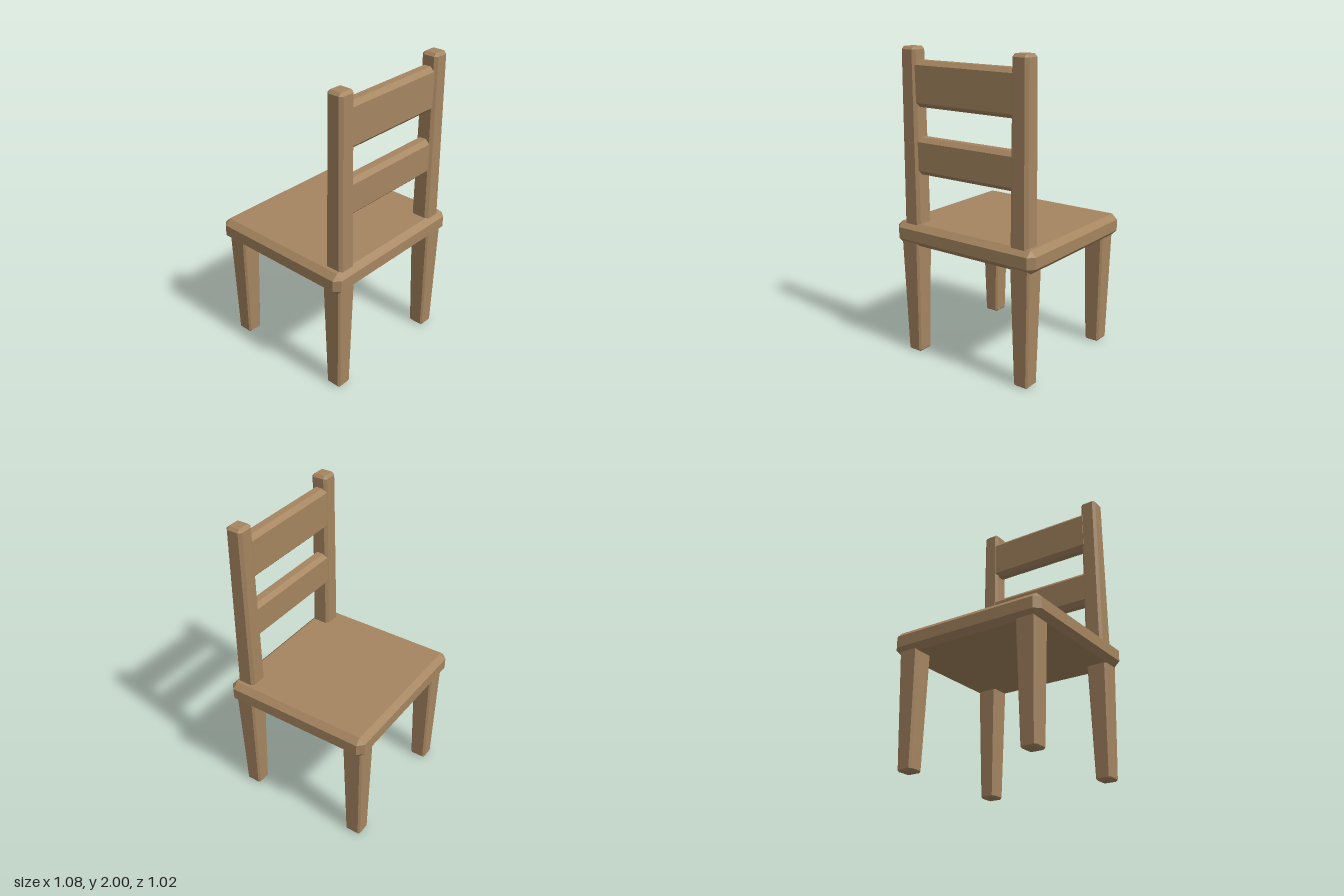
import * as THREE from 'three';
import { ConvexGeometry } from 'three/addons/geometries/ConvexGeometry.js';

// Box from y0 to y1 with every edge chamfered by c (vertically by cy);
// low and high are the [x, z] half widths at the bottom and the top.
function bevelledBox(y0, y1, low, high, c, cy = c) {
  const points = [];
  for (const [y, dir, [hx, hz]] of [[y0, 1, low], [y1, -1, high]]) {
    for (const sx of [-1, 1]) {
      for (const sz of [-1, 1]) {
        points.push(
          new THREE.Vector3(sx * hx, y + dir * cy, sz * (hz - c)),
          new THREE.Vector3(sx * (hx - c), y + dir * cy, sz * hz),
          new THREE.Vector3(sx * (hx - c), y, sz * (hz - c))
        );
      }
    }
  }
  return new ConvexGeometry(points);
}

export function createModel() {
  const model = new THREE.Group();
  model.name = 'chair';
  const wood = new THREE.MeshStandardMaterial({ color: 0xa58560, flatShading: true });
  wood.name = 'wood';

  const add = (name, geometry, x = 0, z = 0) => {
    const mesh = new THREE.Mesh(geometry, wood);
    mesh.name = name;
    mesh.position.set(x, 0, z);
    model.add(mesh);
  };

  // Thick seat with wide chamfers
  add('seat', bevelledBox(0.746, 0.892, [0.54, 0.508], [0.54, 0.508], 0.038, 0.036));

  // Legs narrowing to the floor, and the two back posts narrowing upwards
  const leg = bevelledBox(0, 0.785, [0.052, 0.054], [0.07, 0.069], 0.012);
  const post = bevelledBox(0.868, 2, [0.063, 0.063], [0.057, 0.056], 0.018);
  for (const [side, s] of [['left', 1], ['right', -1]]) {
    add(side + 'PostLeg', leg, s * 0.432, 0.42);
    add(side + 'OpenLeg', leg, s * 0.432, -0.414);
    add(side + 'Post', post, s * 0.417, 0.417);
  }

  // Cross slats of the backrest
  const slatSize = [0.4, 0.051];
  add('upperSlat', bevelledBox(1.635, 1.919, slatSize, slatSize, 0.027), 0, 0.411);
  add('lowerSlat', bevelledBox(1.211, 1.447, slatSize, slatSize, 0.027), 0, 0.411);

  return model;
}
